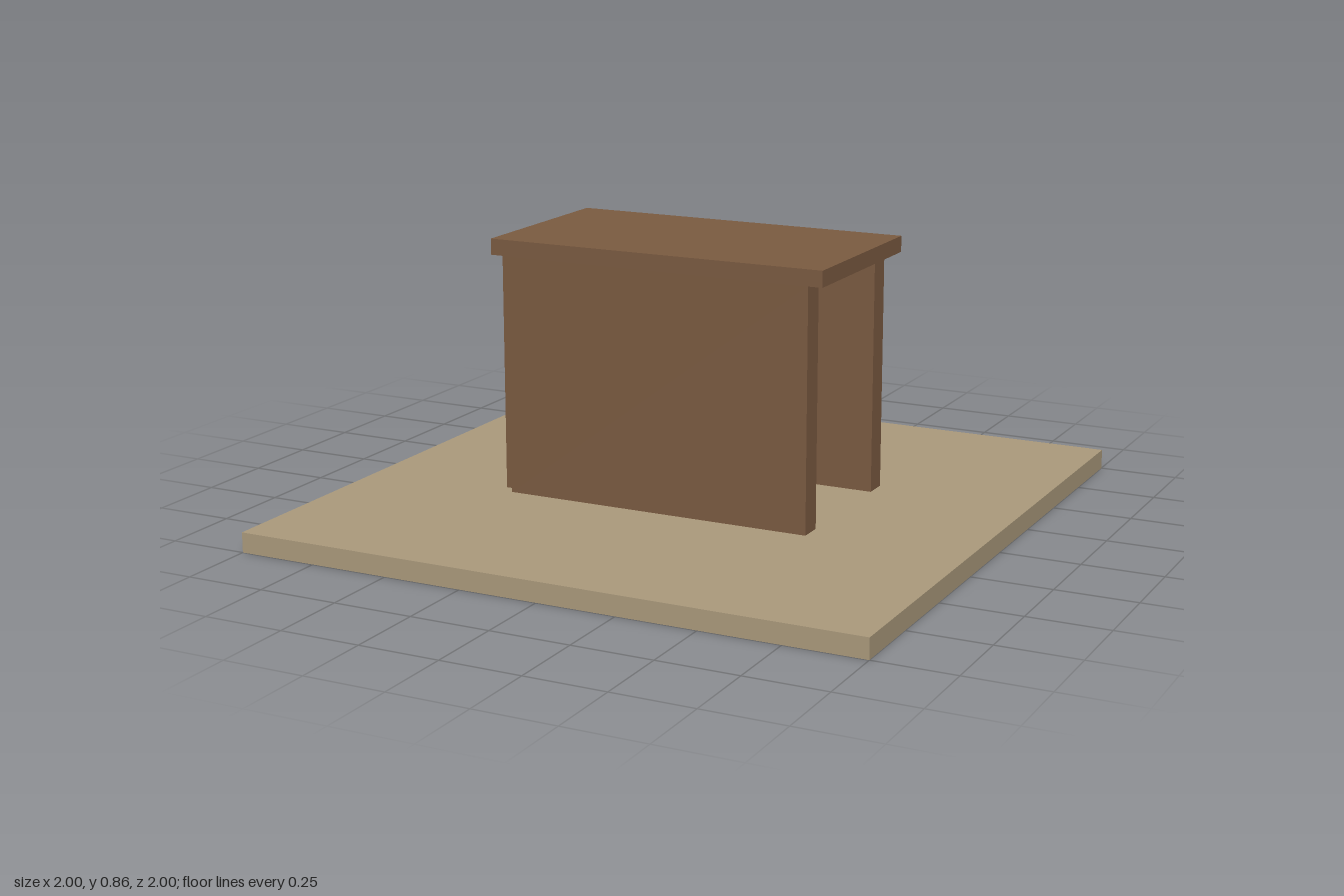
import * as THREE from 'three';

const BASE_H = 0.0625, WALL_H = 0.75, ROOF_H = 0.05;
const WALL_L = 1.0, WALL_T = 0.075, WALL_Z = 0.25;

function makeMaterial(name, color) {
  const material = new THREE.MeshStandardMaterial({ color });
  material.name = name;
  return material;
}

export function createModel() {
  const model = new THREE.Group();
  model.name = 'shelter';

  const sand = makeMaterial('sand', 0xab9a7c);
  const wood = makeMaterial('wood', 0x7b5b41);
  const blue = makeMaterial('paleBlue', 0x8599b5);

  // Adds a box whose underside rests at the given height
  function addBox(name, material, [w, h, d], x, bottom, z) {
    const mesh = new THREE.Mesh(new THREE.BoxGeometry(w, h, d), material);
    mesh.name = name;
    mesh.position.set(x, bottom + h / 2, z);
    model.add(mesh);
  }

  // Ground slab
  addBox('groundSlab', sand, [2, BASE_H, 2], 0, 0, 0);

  // Two long side walls, open between them at the +x end
  for (const [name, side] of [['frontWall', 1], ['backWall', -1]]) {
    addBox(name, wood, [WALL_L, WALL_H, WALL_T], 0, BASE_H, side * WALL_Z);
  }

  // End panel closing the -x end, with a blue inner face
  addBox('endPanel', wood, [0.04, WALL_H, 0.5], -0.52, BASE_H, 0);
  addBox('innerPanel', blue, [0.008, WALL_H, 2 * WALL_Z - WALL_T], -0.496, BASE_H, 0);

  // Flat overhanging roof
  addBox('roof', wood, [1.1, ROOF_H, 0.6], 0, BASE_H + WALL_H, 0);

  return model;
}
